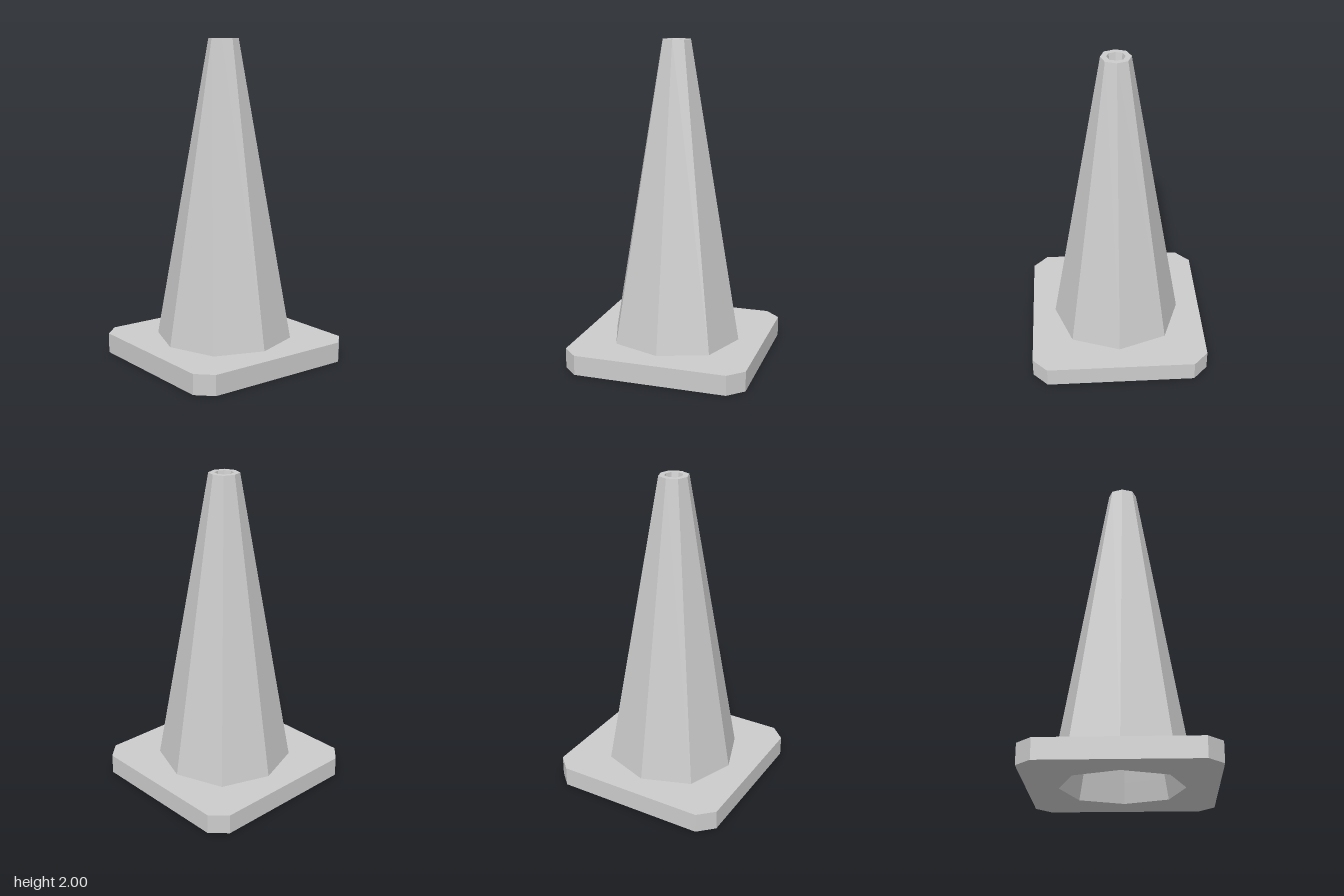
import * as THREE from 'three';

const BASE_H = 0.125;   // thickness of the foot plate
const PIT_Y = 1.7;      // height where the hollow closes to a point
const HOLE_R = 0.37;    // hollow radius at the ground
const DIAGONAL = 1.039; // diagonal corners of the octagon sit slightly further out

const hollowRadius = (y) => HOLE_R * (1 - y / PIT_Y);

// Corner i of the octagon; even corners lie on the axes
function octagonCorner(i, r) {
  const a = (i * Math.PI) / 4;
  const k = i % 2 ? r * DIAGONAL : r;
  return new THREE.Vector2(Math.cos(a) * k, Math.sin(a) * k);
}

// Chamfered plate with an octagonal opening that tapers with the hollow
function createBase(material) {
  const [x, z, cx, cz] = [0.56, 0.572, 0.468, 0.477];
  const shape = new THREE.Shape([
    [cx, -z], [x, -cz], [x, cz], [cx, z], [-cx, z], [-x, cz], [-x, -cz], [-cx, -z],
  ].map(([px, py]) => new THREE.Vector2(px, py)));
  const corners = Array.from({ length: 8 }, (_, i) => octagonCorner(i, HOLE_R));
  shape.holes.push(new THREE.Path(corners.reverse()));

  const geometry = new THREE.ExtrudeGeometry(shape, { depth: BASE_H, bevelEnabled: false });
  geometry.rotateX(-Math.PI / 2);

  // Narrow the opening at the top of the plate
  const p = geometry.attributes.position;
  const taper = hollowRadius(BASE_H) / HOLE_R;
  for (let i = 0; i < p.count; i++) {
    const inHole = Math.hypot(p.getX(i), p.getZ(i)) < 0.45;
    if (inHole && p.getY(i) > BASE_H / 2) {
      p.setX(i, p.getX(i) * taper);
      p.setZ(i, p.getZ(i) * taper);
    }
  }
  geometry.computeVertexNormals();
  const mesh = new THREE.Mesh(geometry, material);
  mesh.name = 'base';
  return mesh;
}

// Eight-sided cone: outer wall, rim, pit in the tip, and hollow underside
function createCone(material) {
  const profile = [
    [0.411, BASE_H], [0.09, 2], [0.055, 2], [0, PIT_Y], [hollowRadius(BASE_H), BASE_H],
  ].map(([r, y]) => new THREE.Vector2(r, y));
  const geometry = new THREE.LatheGeometry(profile, 8).toNonIndexed();

  // Push the diagonal corners out
  const p = geometry.attributes.position;
  for (let i = 0; i < p.count; i++) {
    const x = p.getX(i), z = p.getZ(i);
    if (Math.min(Math.abs(x), Math.abs(z)) > 0.01) {
      p.setX(i, x * DIAGONAL);
      p.setZ(i, z * DIAGONAL);
    }
  }
  geometry.computeVertexNormals();
  const mesh = new THREE.Mesh(geometry, material);
  mesh.name = 'cone';
  return mesh;
}

export function createModel() {
  const material = new THREE.MeshStandardMaterial({ color: 0xcccccc, flatShading: true });
  const group = new THREE.Group();
  group.name = 'trafficCone';
  group.add(createBase(material), createCone(material));
  return group;
}
